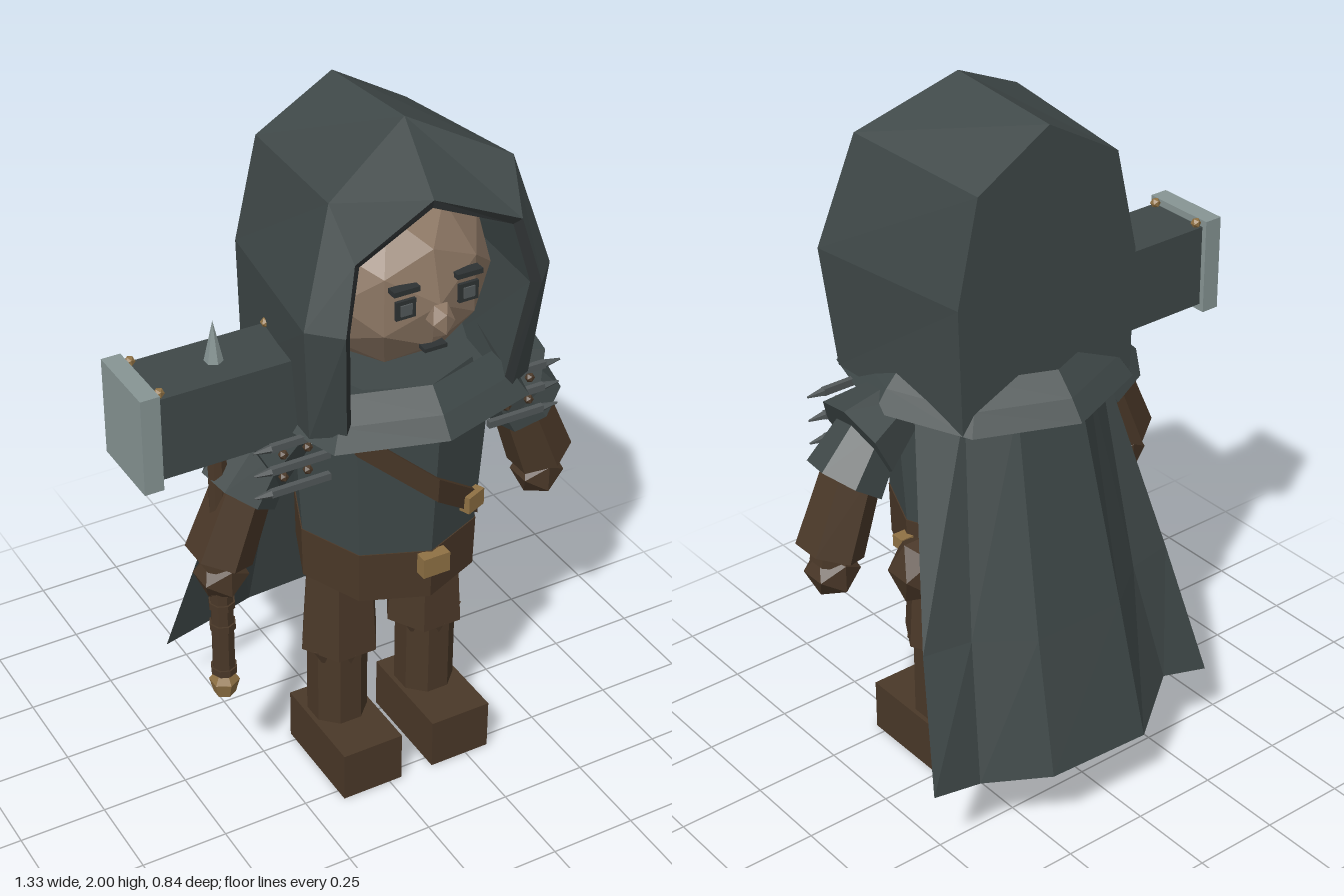
import * as THREE from 'three';

const paint = (name, color) => {
  const m = new THREE.MeshStandardMaterial({ color, flatShading: true, side: THREE.DoubleSide });
  m.name = name;
  return m;
};

export function createModel() {
  const cloth = paint('slate cloth', 0x3f4848);
  const leather = paint('brown leather', 0x4a3828);
  const skin = paint('skin', 0x8d7764);
  const brass = paint('brass', 0x8f7144);
  const steel = paint('steel', 0x879594);
  const iron = paint('iron', 0x525859);
  const dark = paint('dark trim', 0x2e3233);

  const CX = 0.088, CZ = 0.085; // body axis
  const model = new THREE.Group();
  model.name = 'hoodedFighter';
  const body = new THREE.Group();
  body.name = 'body';
  body.position.set(CX, 0, CZ);
  model.add(body);

  const add = (name, geo, mat, x = 0, y = 0, z = 0, parent = body) => {
    const m = new THREE.Mesh(geo, mat);
    m.name = name;
    m.position.set(x, y, z);
    parent.add(m);
    return m;
  };
  const box = (w, h, d) => new THREE.BoxGeometry(w, h, d);

  // Tapered cylinder running from a to b
  const limb = (name, a, b, ra, rb, sides, mat, parent = body) => {
    const A = new THREE.Vector3(...a), B = new THREE.Vector3(...b);
    const m = add(name, new THREE.CylinderGeometry(rb, ra, A.distanceTo(B), sides), mat, 0, 0, 0, parent);
    m.position.copy(A).add(B).multiplyScalar(0.5);
    m.quaternion.setFromUnitVectors(new THREE.Vector3(0, 1, 0), B.sub(A).normalize());
    return m;
  };

  // Surface through a list of cross-sections with equal point counts
  const loft = (rings, closed) => {
    const n = rings[0].length, idx = [];
    for (let r = 0; r < rings.length - 1; r++)
      for (let i = 0; i < (closed ? n : n - 1); i++) {
        const a = r * n + i, b = r * n + (i + 1) % n;
        idx.push(a, b, b + n, a, b + n, a + n);
      }
    const g = new THREE.BufferGeometry();
    g.setAttribute('position', new THREE.Float32BufferAttribute(rings.flat(2), 3));
    g.setIndex(idx);
    g.computeVertexNormals();
    return g;
  };

  // Torso and belt: eight sides with a ridge at the front
  add('torso', new THREE.CylinderGeometry(0.28, 0.25, 0.45, 8), cloth, 0, 1.025, 0);
  add('belt', new THREE.CylinderGeometry(0.254, 0.25, 0.152, 8), leather, 0, 0.735, 0);
  add('beltBuckle', box(0.08, 0.06, 0.035), brass, 0, 0.78, 0.262);

  // Chest strap bent over the front ridge
  const chestZ = (x, y) => 0.25 + (y - 0.8) * 0.067 - Math.abs(x) * 0.414;
  add('chestStrap', loft([-0.2, 0, 0.176].map((x) => {
    const y = 1.185 - (x + 0.2) * 0.83;
    return [[-0.037, 0], [-0.037, 0.014], [0.037, 0.014], [0.037, 0]]
      .map(([dy, dz]) => [x, y + dy, chestZ(x, y + dy) + dz]);
  }), true), leather);
  add('strapBuckle', box(0.066, 0.05, 0.032), brass, 0.145, 0.902, 0.212).rotation.y = Math.PI / 8;

  add('pouch', new THREE.IcosahedronGeometry(1, 0).scale(0.08, 0.105, 0.08), leather, 0.27, 0.7, -0.07);
  add('pouchClasp', box(0.045, 0.035, 0.04), brass, 0.262, 0.75, 0.0);

  // Hood: half outlines mirrored from one lower edge to the other
  const arch = (half) => [...half.slice().reverse().map(([x, y, z]) => [-x, y, z - CZ]),
    ...half.slice(1).map(([x, y, z]) => [x, y, z - CZ])];
  const back = arch([[0, 1.973, -0.2], [0.22, 1.845, -0.2], [0.285, 1.56, -0.2], [0.275, 1.2, -0.2]]);
  const brow = arch([[0, 2.0, 0.16], [0.26, 1.872, 0.25], [0.354, 1.565, 0.295], [0.325, 1.23, 0.265]]);
  const rim = arch([[0, 1.838, 0.305], [0.237, 1.74, 0.338], [0.28, 1.565, 0.372], [0.245, 1.24, 0.315]]);
  const lip = arch([[0, 1.815, 0.3], [0.218, 1.724, 0.325], [0.258, 1.562, 0.352], [0.225, 1.24, 0.3]]);
  const lining = arch([[0, 1.84, 0.0], [0.25, 1.74, 0.0], [0.29, 1.56, 0.0], [0.26, 1.22, 0.0]]);
  add('hood', loft([back, brow, rim], false), cloth);
  add('hoodBack', loft([back, back.map(([x, , z]) => [x * 0.9, 1.2, z])], false), cloth);
  add('hoodTrim', loft([rim, lip], false), dark);
  add('hoodLining', loft([lip, lining], false), cloth);

  // Pointed collar, set back a little and fuller at the front corners
  const collarRing = (y, r) => Array.from({ length: 8 }, (_, i) => {
    const a = i * Math.PI / 4, q = i === 1 || i === 7 ? r * 1.09 : r;
    return [Math.sin(a) * q, y, Math.cos(a) * q - 0.045];
  });
  add('collar', loft([collarRing(1.32, 0.28), collarRing(1.26, 0.335), collarRing(1.205, 0.375)], true), cloth);
  add('neck', new THREE.CylinderGeometry(0.23, 0.25, 0.1, 8), cloth, 0, 1.265, 0);

  // Head and face
  add('head', new THREE.IcosahedronGeometry(0.262, 1), skin, 0, 1.567, 0);
  add('nose', new THREE.IcosahedronGeometry(1, 0).scale(0.037, 0.053, 0.037), skin, 0, 1.526, 0.262);
  for (const s of [-1, 1]) {
    add('eye', box(0.056, 0.052, 0.009), dark, s * 0.09, 1.573, 0.244);
    add('pupil', box(0.032, 0.03, 0.009), iron, s * 0.09, 1.573, 0.248);
    add('eyebrow', box(0.074, 0.014, 0.03), dark, s * 0.09, 1.625, 0.238);
  }
  add('mouth', box(0.065, 0.011, 0.03), dark, 0, 1.435, 0.232);

  // Cape: folded panel widening to a ragged hem
  const capeRow = (xs, ys, zs) => xs.map((x, i) => [x, ys[i], zs[i] - CZ]);
  const fill = (v) => Array(6).fill(v);
  add('cape', loft([
    capeRow([-0.3, -0.2, -0.1, 0.1, 0.2, 0.3], fill(1.22), [-0.03, -0.11, -0.2, -0.2, -0.11, -0.03]),
    capeRow([-0.42, -0.28, -0.14, 0.14, 0.28, 0.42], fill(0.6), [-0.205, -0.23, -0.335, -0.335, -0.23, -0.205]),
    capeRow([-0.48, -0.325, -0.16, 0.16, 0.325, 0.48], [0.22, 0.262, 0.2, 0.215, 0.208, 0.24],
      [-0.322, -0.318, -0.425, -0.425, -0.318, -0.322]),
  ], false), cloth);

  for (const s of [-1, 1]) {
    // Legs
    const leg = new THREE.Group();
    leg.name = s > 0 ? 'leftLeg' : 'rightLeg';
    leg.position.x = s * 0.142;
    body.add(leg);
    add('thigh', new THREE.CylinderGeometry(0.1, 0.118, 0.28, 6).rotateY(Math.PI / 6), leather, s * -0.006, 0.54, -0.003, leg);
    add('shin', new THREE.CylinderGeometry(0.085, 0.085, 0.27, 8).rotateY(Math.PI / 8), leather, 0, 0.275, -0.005, leg);
    for (let i = 0; i < 6; i++) {
      const a = i * Math.PI / 3;
      add('hemPoint', new THREE.ConeGeometry(0.03, 0.055, 4).rotateX(Math.PI), leather,
        Math.sin(a) * 0.075, 0.378, Math.cos(a) * 0.07, leg);
    }
    add('boot', box(0.184, 0.153, 0.316), leather, 0, 0.0765, 0.043, leg);

    // Arms
    const arm = new THREE.Group();
    arm.name = s > 0 ? 'leftArm' : 'rightArm';
    body.add(arm);
    limb('shoulderSleeve', [s * 0.25, 1.19, 0], [s * 0.4, 1.115, 0], 0.075, 0.13, 7, cloth, arm);
    limb('upperSleeve', [s * 0.34, 1.15, 0], [s * 0.44, 1.01, 0], 0.085, 0.112, 7, cloth, arm);
    limb('forearm', [s * 0.41, 1.05, 0], [s * 0.5, 0.815, 0], 0.08, 0.093, 6, leather, arm);
    limb('wrist', [s * 0.485, 0.84, 0], [s * 0.5, 0.78, 0], 0.06, 0.055, 6, leather, arm);
    add('hand', new THREE.IcosahedronGeometry(0.075, 0), leather, s * 0.495, 0.755, 0, arm);

    // Shoulder spikes and studs
    for (const y of [1.062, 1.13, 1.2]) {
      add('shoulderBar', box(0.17, 0.02, 0.016), iron, s * 0.325, y, 0.132, arm);
      limb('barTip', [s * 0.41, y, 0.132], [s * 0.458, y, 0.132], 0.012, 0.003, 5, iron, arm);
    }
    for (const [x, y] of [[0.3, 1.165], [0.37, 1.165], [0.3, 1.096], [0.37, 1.096]])
      add('shoulderStud', new THREE.IcosahedronGeometry(0.014, 0), leather, s * x, y, 0.125, arm);
  }

  // War hammer held in the right hand
  const hammer = new THREE.Group();
  hammer.name = 'hammer';
  hammer.position.set(-0.41, 0, 0.09);
  model.add(hammer);
  add('hammerHead', box(0.42, 0.235, 0.195), cloth, 0, 1.302, 0, hammer);
  for (const s of [-1, 1]) {
    add('hammerPlate', box(0.053, 0.275, 0.225), steel, s * 0.2275, 1.302, 0, hammer);
    for (const z of [-0.083, 0.083])
      add('hammerStud', new THREE.IcosahedronGeometry(0.015, 0), brass, s * 0.19, 1.43, z, hammer);
  }
  add('hammerSpike', new THREE.ConeGeometry(0.026, 0.12, 6), steel, 0, 1.475, 0, hammer);
  add('shaft', new THREE.CylinderGeometry(0.026, 0.026, 0.8, 8), leather, 0, 0.8, 0, hammer);
  add('grip', new THREE.CylinderGeometry(0.032, 0.032, 0.29, 8), leather, 0, 0.57, 0, hammer);
  for (const y of [0.44, 0.59, 0.66, 0.71])
    add('gripBand', new THREE.CylinderGeometry(0.037, 0.037, 0.02, 8), leather, 0, y, 0, hammer);
  add('pommel', new THREE.CylinderGeometry(0.042, 0.03, 0.045, 6), brass, 0, 0.378, 0, hammer);
  add('pommelTop', new THREE.CylinderGeometry(0.022, 0.042, 0.03, 6), brass, 0, 0.415, 0, hammer);

  return model;
}
